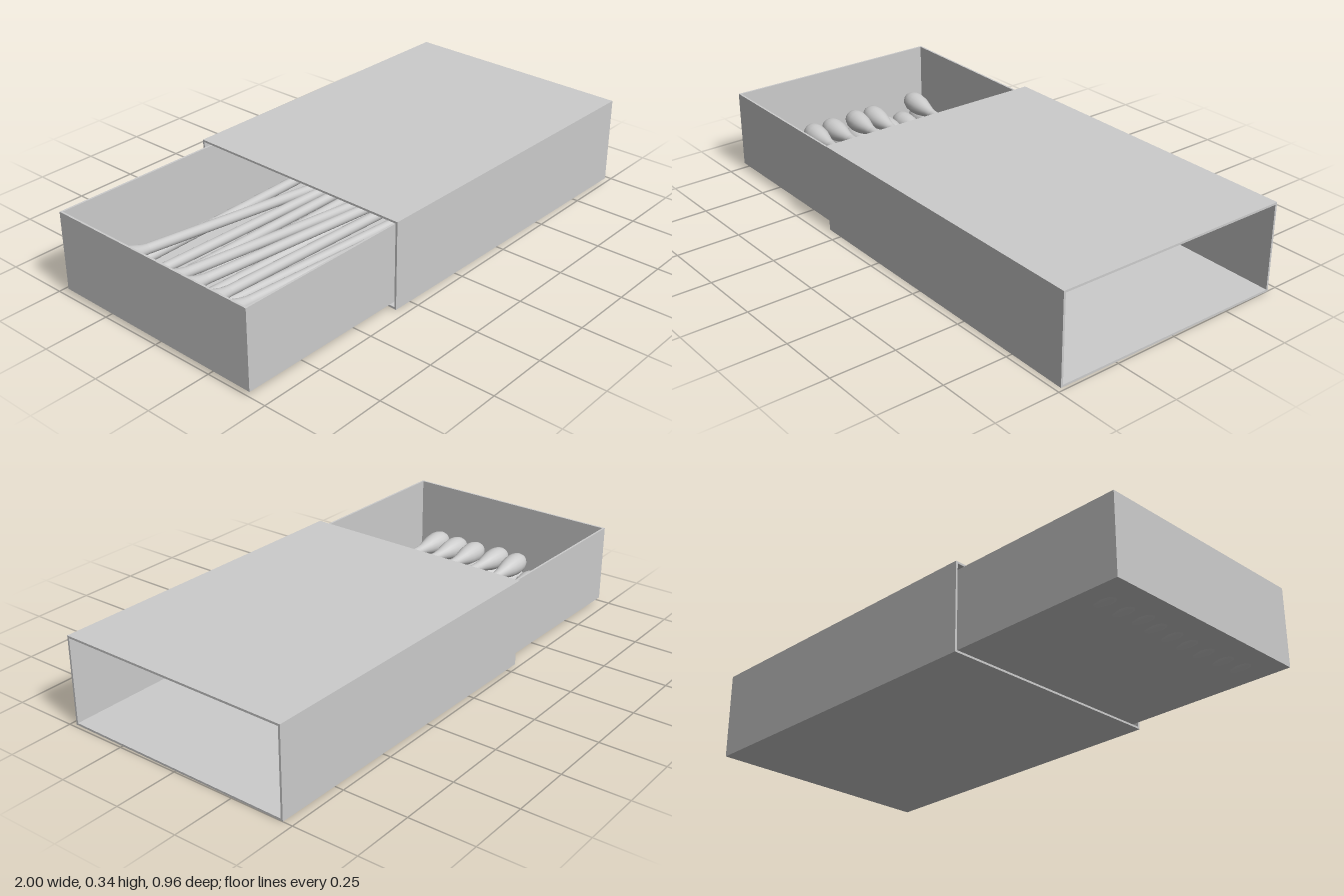
import * as THREE from 'three';

const material = new THREE.MeshStandardMaterial({ color: 0xcccccc, side: THREE.DoubleSide });
const TURN = -0.0137; // the box sits very slightly askew

function rectangle(PathType, w, y0, y1) {
  const p = new PathType();
  p.moveTo(-w / 2, y0);
  p.lineTo(w / 2, y0);
  p.lineTo(w / 2, y1);
  p.lineTo(-w / 2, y1);
  p.closePath();
  return p;
}

// Open-ended outer sleeve: a thin rectangular tube running along x
function createSleeve() {
  const length = 1.31, wall = 0.008;
  const outline = rectangle(THREE.Shape, 0.942, 0, 0.342);
  outline.holes.push(rectangle(THREE.Path, 0.942 - 2 * wall, wall, 0.342 - wall));
  const geometry = new THREE.ExtrudeGeometry(outline, { depth: length, bevelEnabled: false });
  geometry.translate(0, 0, -length / 2);
  geometry.rotateY(Math.PI / 2);
  const sleeve = new THREE.Mesh(geometry, material);
  sleeve.name = 'sleeve';
  sleeve.position.set(0.3385, 0, -0.0046);
  return sleeve;
}

// Open-topped inner tray: floor and four walls
function createTray() {
  const length = 1.3, width = 0.897, height = 0.305, wall = 0.008;
  const tray = new THREE.Group();
  tray.name = 'tray';
  tray.position.set(-0.344, 0.02, 0);
  const panel = (name, w, h, d, x, y, z) => {
    const mesh = new THREE.Mesh(new THREE.BoxGeometry(w, h, d), material);
    mesh.name = name;
    mesh.position.set(x, y, z);
    tray.add(mesh);
  };
  panel('trayFloor', length, wall, width, 0, wall / 2, 0);
  for (const s of [-1, 1]) {
    panel('traySide', length, height, wall, 0, height / 2, s * (width - wall) / 2);
    panel('trayEnd', wall, height, width - 2 * wall, s * (length - wall) / 2, height / 2, 0);
  }
  return tray;
}

// Match head: rounded bulb tapering into the stick, along +y with its centre at 0
const headProfile = [
  [0.02, -0.12], [0.023, -0.095], [0.031, -0.065], [0.039, -0.035], [0.043, 0],
  [0.041, 0.025], [0.034, 0.046], [0.022, 0.062], [0.01, 0.069], [0, 0.071],
].map(([r, y]) => new THREE.Vector2(r, y));
const headGeometry = new THREE.LatheGeometry(headProfile, 20);

function createMatch(head, tail) {
  const axis = new THREE.Vector3().subVectors(head, tail);
  const length = axis.length();
  const match = new THREE.Group();
  match.name = 'match';
  match.position.copy(tail);
  match.quaternion.setFromUnitVectors(new THREE.Vector3(0, 1, 0), axis.normalize());

  const stickLength = length - 0.11;
  const stick = new THREE.Mesh(new THREE.CylinderGeometry(0.02, 0.02, stickLength, 16), material);
  stick.name = 'matchStick';
  stick.position.y = stickLength / 2;
  const bulb = new THREE.Mesh(headGeometry, material);
  bulb.name = 'matchHead';
  bulb.position.y = length;
  match.add(stick, bulb);
  return match;
}

// Each match: head x, head y, head z, tail y, tail z
const matches = [
  // lower layer
  [-0.86, 0.056, -0.365, 0.05, -0.39],
  [-0.86, 0.056, -0.275, 0.05, -0.24],
  [-0.87, 0.056, -0.19, 0.05, -0.19],
  [-0.86, 0.056, -0.115, 0.05, -0.13],
  [-0.86, 0.056, -0.03, 0.05, 0.0],
  [-0.86, 0.056, 0.05, 0.05, 0.14],
  [-0.86, 0.056, 0.14, 0.05, 0.2],
  [-0.87, 0.056, 0.235, 0.05, 0.34],
  [-0.88, 0.056, 0.32, 0.05, 0.41],
  // upper layer
  [-0.855, 0.13, -0.335, 0.03, -0.29],
  [-0.86, 0.12, -0.125, 0.03, -0.08],
  [-0.86, 0.125, -0.035, 0.1, 0.06],
  [-0.86, 0.12, 0.08, 0.1, 0.11],
  [-0.86, 0.12, 0.17, 0.1, 0.25],
  [-0.865, 0.12, 0.265, 0.1, 0.32],
];

export function createModel() {
  const model = new THREE.Group();
  model.name = 'matchbox';

  const box = new THREE.Group();
  box.name = 'box';
  box.rotation.y = TURN;
  box.add(createSleeve(), createTray());
  model.add(box);

  const pile = new THREE.Group();
  pile.name = 'matches';
  for (const [hx, hy, hz, ty, tz] of matches) {
    pile.add(createMatch(new THREE.Vector3(hx, hy, hz), new THREE.Vector3(hx + 1.1, ty, tz)));
  }
  model.add(pile);
  return model;
}
